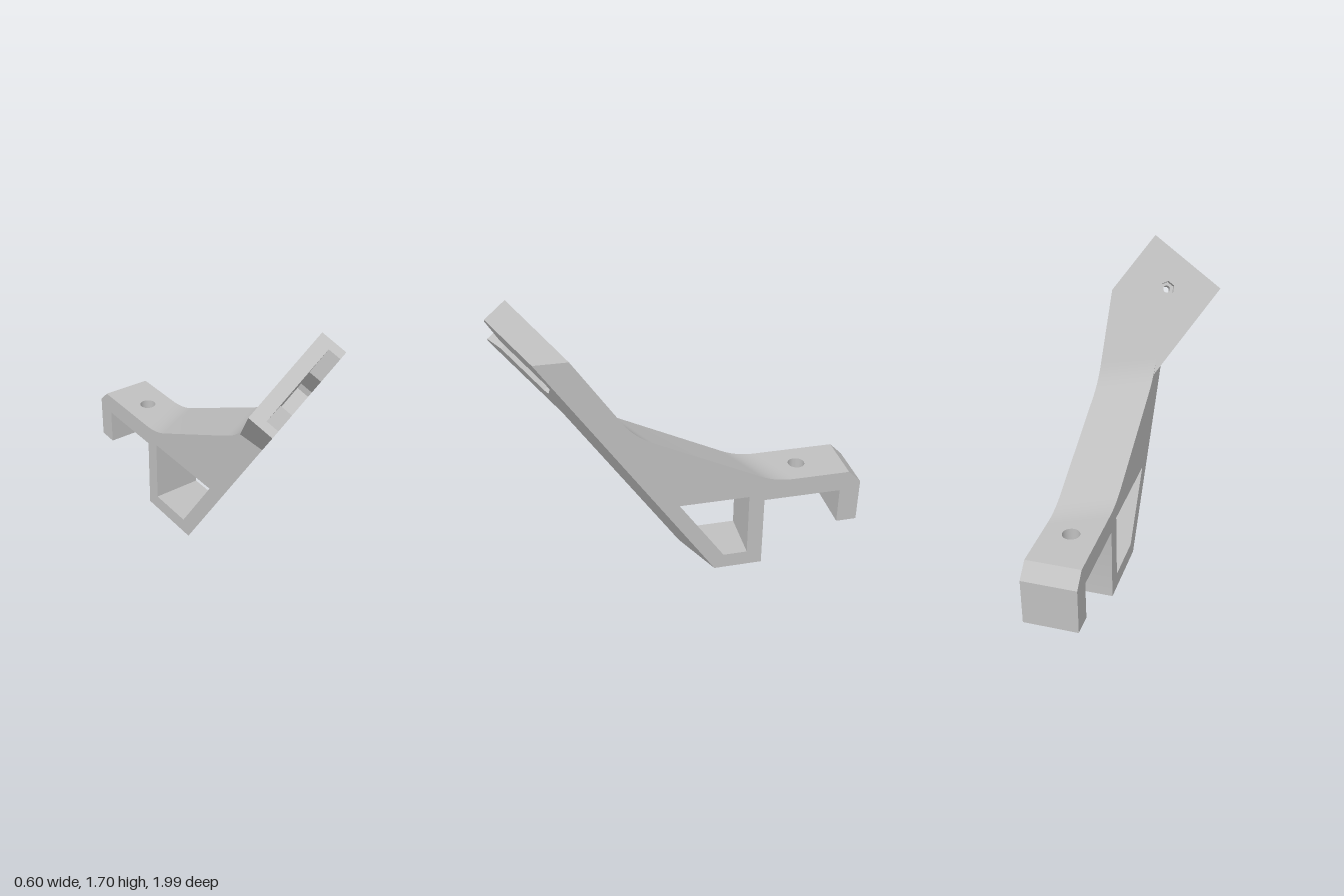
import * as THREE from 'three';
import { toCreasedNormals } from 'three/addons/utils/BufferGeometryUtils.js';

const WIDTH = 0.3;                       // strap width along x
const SX = -0.49, SY = 0.655;            // sloping face: z = SX*x + SY*y
const LEN = Math.hypot(SX, SY, 1);
const N = new THREE.Vector3(-SX, -SY, 1).divideScalar(LEN);
const THICK = 0.139;

const vecs = (pts) => pts.map(([x, y]) => new THREE.Vector2(x, y));

function extrude(outline, holes, depth) {
  const shape = new THREE.Shape(vecs(outline));
  holes.forEach((h) => shape.holes.push(new THREE.Path(vecs(h))));
  return new THREE.ExtrudeGeometry(shape, { depth, bevelEnabled: false, steps: 1 });
}

function moveVertices(geometry, rule) {
  const p = geometry.attributes.position;
  const v = new THREE.Vector3();
  for (let i = 0; i < p.count; i++) {
    rule(v.fromBufferAttribute(p, i));
    p.setXYZ(i, v.x, v.y, v.z);
  }
  return toCreasedNormals(geometry, 0.4);
}

// Extrudes a (z, y) side profile across the strap width
const sideExtrude = (outline, holes = []) =>
  extrude(outline, holes, WIDTH).rotateY(-Math.PI / 2).translate(WIDTH, 0, 0);

const bend = (a, b, c) =>
  new THREE.QuadraticBezierCurve(...vecs([a, b, c])).getPoints(10).map((p) => [p.x, p.y]);

// Point on the sloping front face, measured from the head's top right corner
const onHead = (u, v) => [-0.25 + 0.807 * u + 0.585 * v, 1.33 + 0.59 * u - 0.815 * v];

const ring = (r, sides) => Array.from({ length: sides }, (_, i) => {
  const a = (i / sides) * Math.PI * 2;
  return onHead(0.254 + r * Math.cos(a), 0.159 + r * Math.sin(a) / LEN);
});

// Slab of the head between two depths below the front face
function headLayer(outline, holes, d0, d1) {
  return moveVertices(extrude(outline, holes, 1), (v) => {
    const d = d1 + (d0 - d1) * v.z;
    v.z = SX * v.x + SY * v.y;
    if (v.x > 0.299 || v.y < 1) v.z -= d * LEN;   // strap sides run along z
    else v.addScaledVector(N, -d);                // the rest runs square to the face
  });
}

export function createModel() {
  const group = new THREE.Group();
  const grey = new THREE.MeshStandardMaterial({ color: 0xc0c0c0 });
  grey.name = 'light grey';
  const add = (name, geometry) => {
    const mesh = new THREE.Mesh(geometry, grey);
    mesh.name = name;
    group.add(mesh);
  };

  // Body: wedge with a window; front and top surfaces are skewed across x
  const body = sideExtrude([
    [-0.43, 0], [-0.147, 0], [0.4425, 0.9],
    ...bend([0.365, 1.056], [0.303, 0.96], [0.2, 0.91]),
    ...bend([-0.4, 0.61], [-0.49, 0.565], [-0.6, 0.565]),
    [-0.43, 0.5],
  ], [[[0.06, 0.48], [-0.34, 0.48], [-0.34, 0.09], [-0.2, 0.09]]]);
  add('body', moveVertices(body, (v) => {
    if (v.z > -0.3 || v.y > 0.55) v.z -= SX * (WIDTH - v.x);
  }));

  // Head: front layer with open pocket, middle with bolt hole, back with nut recess
  const base = [[0, 0.98], [0, 0.9], [0.3, 0.9], [0.3, 1.43]];
  const corners = [onHead(0.508, 0), onHead(0, 0)];
  const pocket = [
    [0.467, 0], [0.356, 0.08], [0.356, 0.318], [0.334, 0.342],
    [0.174, 0.342], [0.152, 0.318], [0.152, 0.08], [0.041, 0],
  ].map(([u, v]) => onHead(u, v));
  add('headPocketRim', headLayer([...base, corners[0], ...pocket, corners[1]], [], 0, 0.068));
  add('headPlate', headLayer([...base, ...corners], [ring(0.021, 24)], 0.068, 0.108));
  add('headNutRecess', headLayer([...base, ...corners], [ring(0.043, 6)], 0.108, THICK));

  // Arm with vertical screw hole
  const screwHole = Array.from({ length: 32 }, (_, i) => {
    const a = (i / 32) * Math.PI * 2;
    return [0.147 + 0.048 * Math.cos(a), 0.66 + 0.048 * Math.sin(a)];
  });
  const arm = extrude([[0, 0.42], [0.3, 0.42], [0.3, 0.88], [0, 0.88]], [screwHole], 0.12);
  arm.rotateX(-Math.PI / 2).translate(0, 0.445, 0);
  add('arm', toCreasedNormals(arm, 0.4));

  // Hook at the back end with chamfered top
  add('hook', toCreasedNormals(sideExtrude([
    [-1, 0.225], [-0.88, 0.225], [-0.88, 0.565], [-0.925, 0.565], [-1, 0.49],
  ]), 0.4));

  return group;
}
